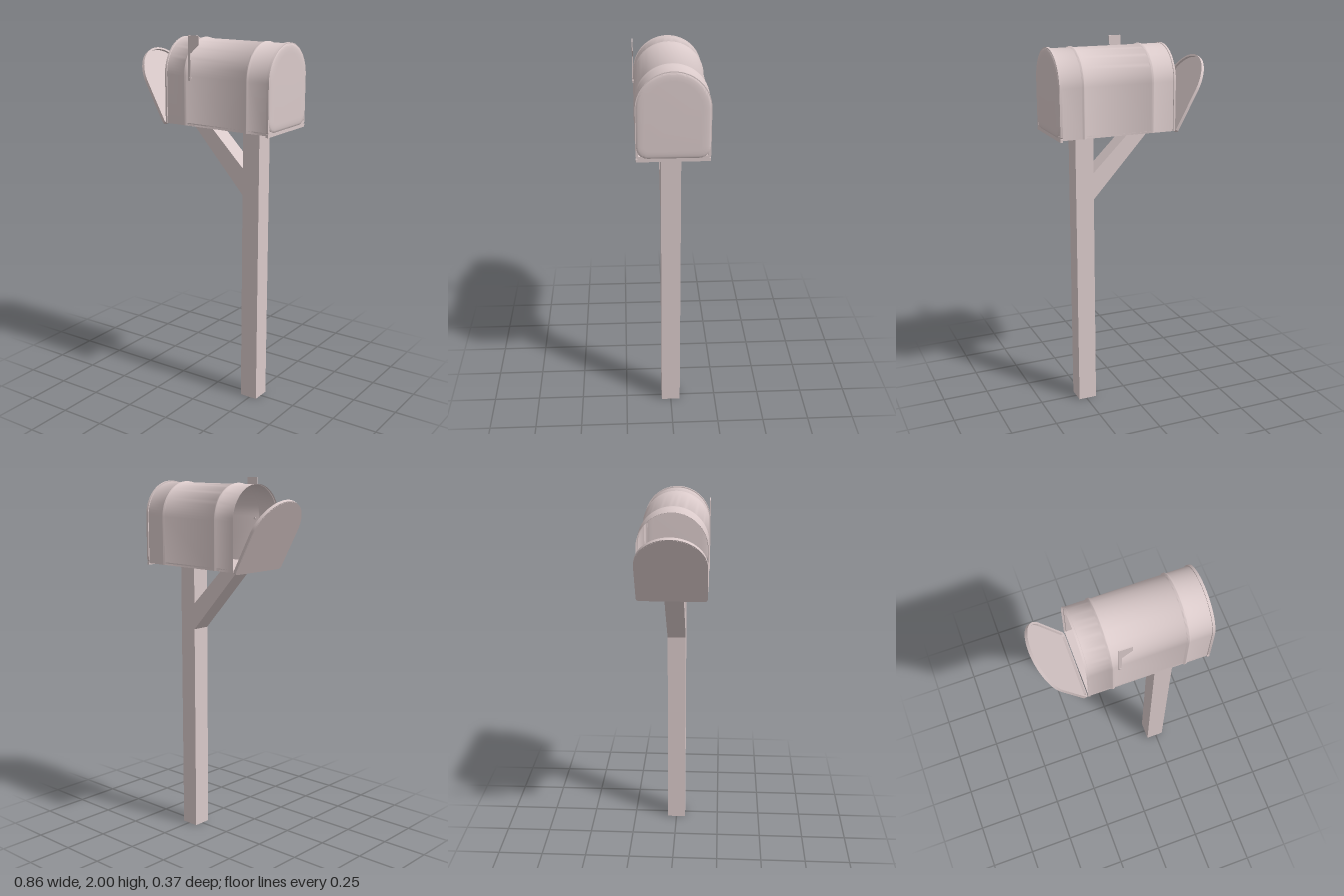
import * as THREE from 'three';
import { toCreasedNormals } from 'three/addons/utils/BufferGeometryUtils.js';

const material = new THREE.MeshStandardMaterial({ color: 0xd9c9c9, side: THREE.DoubleSide });
const CZ = -0.005; // centre line of the box in z
const R = 0.178;   // half width of the box

function add(parent, name, geometry, x = 0, y = 0, z = 0) {
  const mesh = new THREE.Mesh(geometry, material);
  mesh.name = name;
  mesh.position.set(x, y, z);
  parent.add(mesh);
  return mesh;
}

// Arched panel outline standing on y = y0, with rounded lower corners
function arch(half, top, y0 = 0, corner = 0.02, Type = THREE.Shape) {
  const s = new Type();
  s.moveTo(-half + corner, y0);
  s.lineTo(half - corner, y0);
  s.quadraticCurveTo(half, y0, half, y0 + corner);
  s.lineTo(half, top - half);
  s.absarc(0, top - half, half, 0, Math.PI, false);
  s.lineTo(-half, y0 + corner);
  s.quadraticCurveTo(-half, y0, -half + corner, y0);
  return s;
}

function extrude(shape, depth, options = {}) {
  const g = new THREE.ExtrudeGeometry(shape, { depth, bevelEnabled: false, curveSegments: 28, ...options });
  return toCreasedNormals(g, 0.6);
}

function archRing(half, top, width, depth) {
  const s = arch(half, top);
  s.holes.push(arch(half - width, top - width, width, 0.012, THREE.Path));
  return extrude(s, depth);
}

// Sheet shell lofted along x; each station is [x, outward offset]
function shellGeometry(stations, bottom, spring) {
  const n = 36, pos = [], index = [], row = n + 3;
  for (const [x, d] of stations) {
    const r = R + d;
    pos.push(x, bottom, CZ + r);
    for (let i = 0; i <= n; i++) {
      const a = (Math.PI * i) / n;
      pos.push(x, spring + r * Math.sin(a), CZ + r * Math.cos(a));
    }
    pos.push(x, bottom, CZ - r);
  }
  for (let j = 0; j < stations.length - 1; j++) {
    for (let i = 0; i < row - 1; i++) {
      const a = j * row + i, b = a + row;
      index.push(a, b, a + 1, b, b + 1, a + 1);
    }
  }
  const g = new THREE.BufferGeometry();
  g.setAttribute('position', new THREE.Float32BufferAttribute(pos, 3));
  g.setIndex(index);
  return toCreasedNormals(g, 0.8);
}

export function createModel() {
  const model = new THREE.Group();
  model.name = 'mailbox';

  // Post and diagonal brace
  add(model, 'post', new THREE.BoxGeometry(0.1, 1.545, 0.102), 0.242, 0.7725, 0);
  const brace = new THREE.Shape([[0.192, 1.17], [0.192, 1.315], [-0.04, 1.545], [-0.148, 1.545]]
    .map(([x, y]) => new THREE.Vector2(x, y)));
  add(model, 'brace', extrude(brace, 0.102), 0, 0, -0.051);

  // Arched shell with two raised ribs
  const stations = [[-0.215, 0.003], [-0.205, 0.003], [-0.203, 0]];
  for (const rib of [-0.087, 0.29]) {
    for (let i = 0; i <= 8; i++) {
      stations.push([rib - 0.012 + 0.003 * i, 0.006 * Math.sin((Math.PI * i) / 8)]);
    }
  }
  stations.push([0.415, 0]);
  add(model, 'shell', shellGeometry(stations, 1.533, 1.792));

  // Floor, with hems under both long edges
  add(model, 'floor', new THREE.BoxGeometry(0.625, 0.006, 2 * R), 0.1, 1.545, CZ);
  for (const side of [-1, 1]) {
    add(model, 'floorHem', new THREE.BoxGeometry(0.625, 0.006, 0.018), 0.1, 1.536, CZ + side * (R - 0.009));
  }

  // Closed end: rim, slightly domed panel and lower lip
  const end = new THREE.Group();
  end.name = 'closedEnd';
  end.position.set(0.407, 1.54, CZ);
  end.rotation.y = Math.PI / 2;
  model.add(end);
  add(end, 'endRim', archRing(0.183, 0.436, 0.012, 0.013));
  add(end, 'endPanel', extrude(arch(0.14, 0.392, 0.042), 0.004,
    { bevelEnabled: true, bevelSize: 0.04, bevelThickness: 0.007, bevelSegments: 4 }), 0, 0, 0.008);
  add(end, 'endLip', new THREE.BoxGeometry(0.364, 0.016, 0.014), 0, -0.007, 0.006);

  // Open door, hinged at the lower edge and leaning outward
  const door = new THREE.Group();
  door.name = 'door';
  const up = new THREE.Vector3(-0.476, 0.88, 0).normalize();
  const across = new THREE.Vector3(0, 0, 1);
  const out = new THREE.Vector3().crossVectors(across, up);
  door.quaternion.setFromRotationMatrix(new THREE.Matrix4().makeBasis(across, up, out));
  door.position.set(-0.215, 1.53, CZ);
  model.add(door);
  add(door, 'doorPanel', extrude(arch(0.178, 0.417, 0.004), 0.005), 0, 0, 0.012);
  add(door, 'doorRim', archRing(0.182, 0.421, 0.011, 0.016));

  // Raised signal flag on the front side
  const flag = new THREE.Shape([[-0.06, 1.77], [-0.046, 1.77], [-0.046, 1.91], [0.006, 1.955], [0.006, 2], [-0.06, 2]]
    .map(([x, y]) => new THREE.Vector2(x, y)));
  add(model, 'flag', extrude(flag, 0.005), 0, 0, 0.178);
  const pivot = add(model, 'flagPivot', new THREE.CylinderGeometry(0.006, 0.006, 0.016, 12), -0.053, 1.782, 0.177);
  pivot.rotation.x = Math.PI / 2;

  return model;
}
